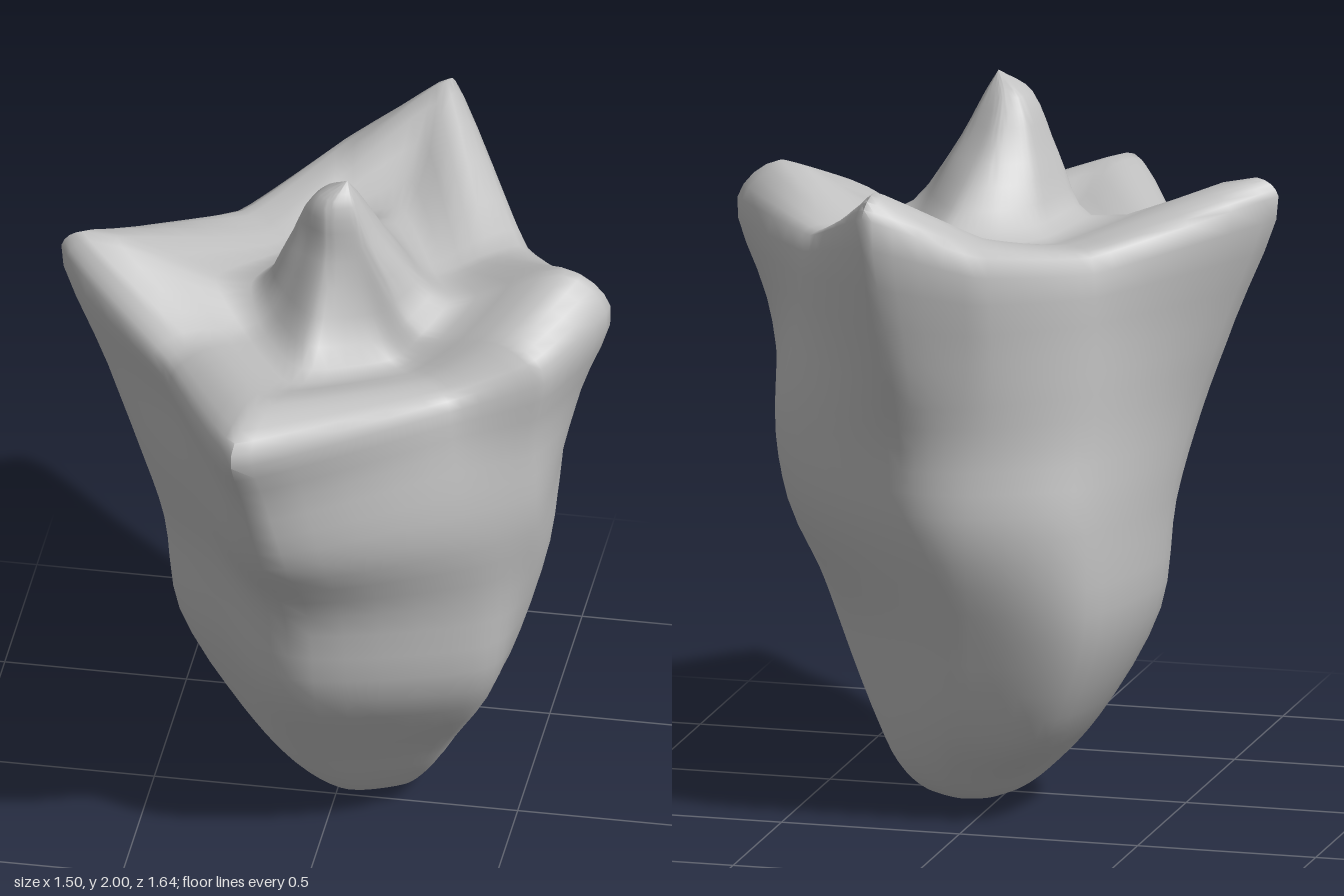
import * as THREE from 'three';
import { mergeVertices, toCreasedNormals } from 'three/addons/utils/BufferGeometryUtils.js';

// Ten spokes, starting at the +x point and turning towards the +z point:
// left point, its shoulder, front-left, front point, front-right,
// right point, back-right, back shoulder, back point, back-left
const ANGLES = [-3, 21, 42, 100, 146, 177, 228, 262, 283, 325].map(THREE.MathUtils.degToRad);
const AROUND = 60, PER_SPAN = 4;

// Each ring: centre x and z, heights (one, or one per spoke), radius per spoke, corner roundness
const BODY = [
  { c: [0.07, -0.1], y: 0, r: 0, round: 0.5 },
  { c: [0.07, -0.1], y: 0.035, r: 0.13, round: 0.5 },
  { c: [0.06, -0.1], y: 0.11, r: 0.215, round: 0.5 },
  { c: [0.04, -0.1], y: 0.25, r: [0.31, 0.32, 0.33, 0.31, 0.29, 0.32, 0.38, 0.33, 0.31, 0.29], round: 0.5 },
  { c: [0.03, -0.06], y: 0.55, r: [0.45, 0.49, 0.52, 0.47, 0.38, 0.47, 0.55, 0.48, 0.45, 0.41], round: 0.45 },
  { c: [0.03, -0.05], y: 0.85, r: [0.55, 0.57, 0.54, 0.52, 0.42, 0.51, 0.57, 0.58, 0.57, 0.57], round: 0.4 },
  { c: [0.02, 0], y: 1.1, r: [0.59, 0.61, 0.54, 0.64, 0.45, 0.56, 0.56, 0.62, 0.65, 0.64], round: 0.35 },
  { c: [0, 0], y: 1.35, r: [0.67, 0.63, 0.52, 0.73, 0.48, 0.63, 0.53, 0.65, 0.74, 0.61], round: 0.25 },
];
const CROWN = [
  // outer rim, rising to a tip on each point
  { c: [0, 0], y: [1.62, 1.57, 1.5, 1.575, 1.5, 1.7, 1.6, 1.66, 1.78, 1.6],
    r: [0.75, 0.65, 0.49, 0.83, 0.51, 0.75, 0.5, 0.69, 0.84, 0.57], round: 0.15 },
  // inner lip
  { c: [0, 0], y: [1.73, 1.63, 1.52, 1.62, 1.55, 1.75, 1.61, 1.68, 1.84, 1.61],
    r: [0.63, 0.53, 0.4, 0.64, 0.42, 0.69, 0.38, 0.55, 0.76, 0.46], round: 0.15 },
  // valley
  { c: [0.01, 0], y: [1.61, 1.56, 1.5, 1.54, 1.55, 1.62, 1.6, 1.61, 1.63, 1.6],
    r: [0.3, 0.26, 0.22, 0.3, 0.23, 0.24, 0.25, 0.36, 0.42, 0.28], round: 0.35 },
  // central peak
  { c: [0.01, 0.04], y: 1.78, r: [0.15, 0.13, 0.1, 0.09, 0.1, 0.14, 0.15, 0.17, 0.18, 0.16], round: 0.4 },
  { c: [0.01, 0.045], y: 1.94, r: 0.065, round: 0.4 },
  { c: [0.04, 0.05], y: 2, r: 0, round: 0.5 },
];

// Closed curve through the spoke ends of one ring
function ringPoints({ c, y, r, round }) {
  const at = (value, i) => (Array.isArray(value) ? value[i] : value);
  const ends = ANGLES.map((a, i) => new THREE.Vector3(
    c[0] + Math.cos(a) * at(r, i), at(y, i), c[1] + Math.sin(a) * at(r, i)));
  const curve = new THREE.CatmullRomCurve3(ends, true, 'catmullrom', round);
  return Array.from({ length: AROUND }, (_, j) => curve.getPoint(j / AROUND));
}

// Skin the rings with smooth columns running from the base to the peak
function skin(rings) {
  const rows = rings.map(ringPoints);
  const steps = (rows.length - 1) * PER_SPAN;
  const positions = [], indices = [];
  const columns = Array.from({ length: AROUND }, (_, j) => {
    const curve = new THREE.CatmullRomCurve3(rows.map(row => row[j]), false, 'centripetal');
    return Array.from({ length: steps + 1 }, (_, i) => curve.getPoint(i / steps));
  });
  for (let i = 0; i <= steps; i++) {
    for (const column of columns) positions.push(column[i].x, Math.max(0, column[i].y), column[i].z);
  }
  for (let i = 0; i < steps; i++) {
    for (let j = 0; j < AROUND; j++) {
      const a = i * AROUND + j, b = i * AROUND + (j + 1) % AROUND;
      if (i < steps - 1) indices.push(a, a + AROUND, b + AROUND);
      if (i > 0) indices.push(a, b + AROUND, b);
    }
  }
  const geometry = new THREE.BufferGeometry();
  geometry.setAttribute('position', new THREE.Float32BufferAttribute(positions, 3));
  geometry.setIndex(indices);
  return toCreasedNormals(mergeVertices(geometry, 1e-5), 1.2);
}

export function createModel() {
  const grey = new THREE.MeshStandardMaterial({ color: 0xc0c0c0 });
  grey.name = 'pale grey';
  const group = new THREE.Group();
  group.name = 'crownedTooth';
  const body = new THREE.Mesh(skin([...BODY, ...CROWN]), grey);
  body.name = 'toothBody';
  group.add(body);
  return group;
}
